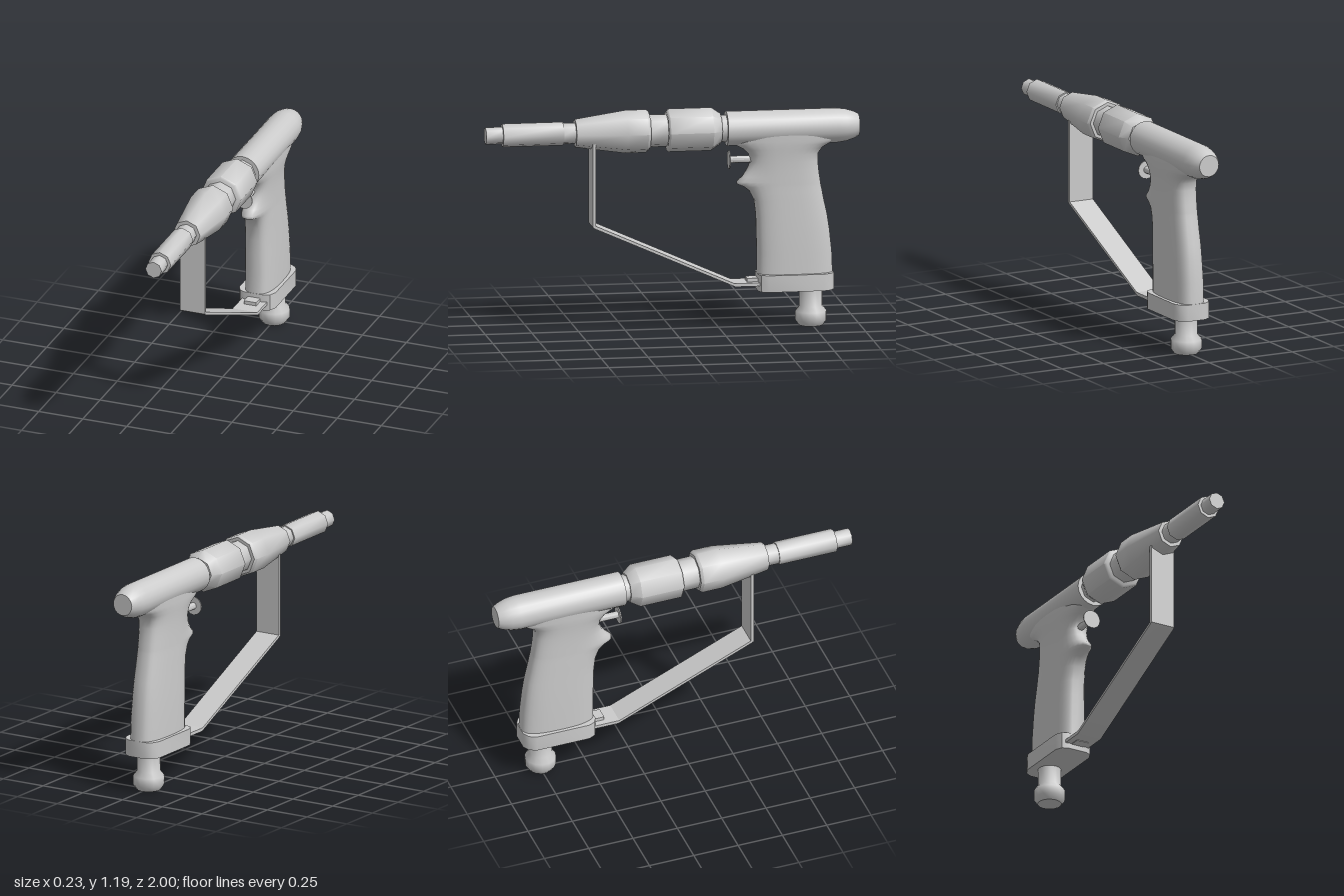
import * as THREE from 'three';
import { toCreasedNormals } from 'three/addons/utils/BufferGeometryUtils.js';

const AXIS_Y = 1.07;

export function createModel() {
  const model = new THREE.Group();
  const material = new THREE.MeshStandardMaterial({ color: 0xcccccc });

  const add = (name, geometry, x = 0, y = 0, z = 0, crease = 0.9) => {
    const mesh = new THREE.Mesh(toCreasedNormals(geometry, crease), material);
    mesh.name = name;
    mesh.position.set(x, y, z);
    model.add(mesh);
    return mesh;
  };
  // profile rows are [radius, position along the axis], rising
  const lathe = (rows, sides) =>
    new THREE.LatheGeometry(rows.map(([r, h]) => new THREE.Vector2(r, h)), sides);
  const barrelPart = (name, rows, sides = 8) =>
    add(name, lathe(rows, sides).rotateX(Math.PI / 2), 0, AXIS_Y, 0);

  // Barrel, back to front
  barrelPart('rearCollar', [[0, -0.32], [0.073, -0.32], [0.073, -0.24], [0, -0.24]]);
  barrelPart('sleeve', [[0, -0.26], [0.082, -0.26], [0.116, -0.21], [0.116, 0.02], [0.105, 0.03], [0, 0.03]]);
  barrelPart('neck', [[0, 0.02], [0.087, 0.02], [0.087, 0.14], [0, 0.14]]);
  barrelPart('nosePiece', [[0, 0.125], [0.105, 0.125], [0.116, 0.14], [0.116, 0.25], [0.076, 0.52], [0, 0.52]]);
  barrelPart('noseTube', [[0, 0.5], [0.056, 0.5], [0.056, 0.585], [0.063, 0.585], [0.063, 0.91], [0.046, 0.91], [0.046, 1], [0, 1]]);

  // Rounded motor housing
  barrelPart('housing', [[0, -1], [0.058, -1], [0.072, -0.975], [0.086, -0.93], [0.0925, -0.88],
    [0.0925, -0.29], [0, -0.29]], 20);

  // Grip: rings of [y, front z, back z, half width, extra reach of the front ridge]
  const rings = [
    [0.27, -0.455, -0.86, 0.085, 0], [0.40, -0.455, -0.855, 0.085, 0],
    [0.52, -0.452, -0.842, 0.083, 0], [0.60, -0.45, -0.83, 0.081, 0],
    [0.68, -0.445, -0.812, 0.079, 0.005], [0.73, -0.44, -0.803, 0.078, 0.025],
    [0.757, -0.44, -0.797, 0.077, 0.06], [0.77, -0.44, -0.795, 0.077, 0.092],
    [0.785, -0.44, -0.793, 0.077, 0.092], [0.81, -0.44, -0.789, 0.077, 0.063],
    [0.85, -0.438, -0.784, 0.077, 0.035], [0.89, -0.43, -0.781, 0.078, 0.01],
    [0.93, -0.42, -0.783, 0.08, 0.01], [0.96, -0.405, -0.805, 0.083, 0.025],
    [0.985, -0.375, -0.85, 0.085, 0.045], [1.005, -0.36, -0.89, 0.086, 0.055],
    [1.05, -0.36, -0.89, 0.086, 0.05],
  ];
  const N = 32;
  const power = (v, p) => Math.sign(v) * Math.abs(v) ** p;
  const positions = [], indices = [];
  rings.forEach(([y, front, back, w, ridge], r) => {
    for (let i = 0; i < N; i++) {
      const a = (i / N) * Math.PI * 2;
      const s = power(Math.sin(a), 0.75);
      positions.push(w * power(Math.cos(a), 0.65), y,
        (front + back) / 2 + s * (front - back) / 2 + ridge * Math.max(0, s) ** 4);
      if (r < rings.length - 1) {
        const p = r * N + i, q = r * N + (i + 1) % N;
        indices.push(p, p + N, q, q, p + N, q + N);
      }
    }
  });
  const grip = new THREE.BufferGeometry();
  grip.setAttribute('position', new THREE.Float32BufferAttribute(positions, 3));
  grip.setIndex(indices);
  add('grip', grip, 0, 0, 0, 1.2);

  // Base cap with tapered front and back
  const half = [[0.055, -0.455], [0.085, -0.468], [0.103, -0.505], [0.103, -0.8], [0.085, -0.84], [0.05, -0.86]];
  const outline = [...half, ...half.map(([x, z]) => [-x, z]).reverse()];
  const capShape = new THREE.Shape(outline.map(([x, z]) => new THREE.Vector2(x, z)));
  add('baseCap', new THREE.ExtrudeGeometry(capShape, { depth: 0.09, bevelEnabled: false })
    .rotateX(Math.PI / 2), 0, 0.288, 0, 0.7);

  // Hose fitting under the grip
  add('hoseFitting', lathe([[0, 0], [0.064, 0], [0.084, 0.028], [0.084, 0.075], [0.062, 0.103],
    [0.062, 0.21], [0, 0.21]], 14), 0, 0, -0.745);

  // Bent strap guard, side outline in (z, y)
  const strap = new THREE.Shape([[0.435, 1.02], [0.417, 1.02], [0.417, 0.578], [-0.325, 0.246],
    [-0.47, 0.246], [-0.47, 0.228], [-0.33, 0.228], [0.421, 0.563], [0.435, 0.573]]
    .map(([z, y]) => new THREE.Vector2(z, y)));
  add('guardStrap', new THREE.ExtrudeGeometry(strap, { depth: 0.14, bevelEnabled: false })
    .translate(0, 0, -0.07).rotateY(-Math.PI / 2), 0, 0, 0, 0.3);
  add('strapClip', new THREE.BoxGeometry(0.07, 0.04, 0.075), 0, 0.245, -0.435);

  // Trigger: stem and thin finger plate
  add('triggerStem', new THREE.CylinderGeometry(0.019, 0.019, 0.14, 12).rotateX(Math.PI / 2), 0, 0.902, -0.375);
  add('triggerPlate', new THREE.CylinderGeometry(0.05, 0.05, 0.006, 16).rotateX(Math.PI / 2), 0, 0.902, -0.306);

  return model;
}
